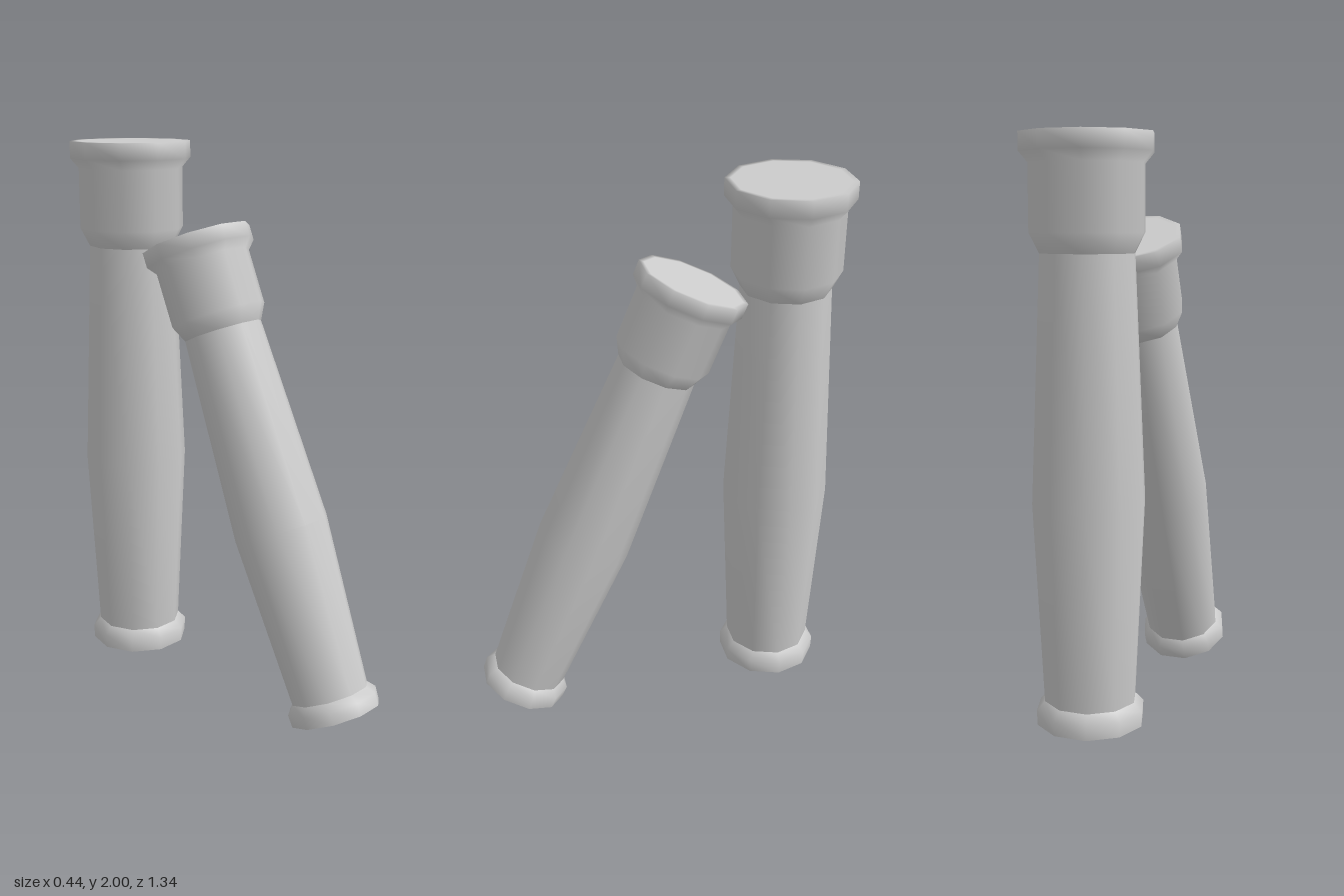
import * as THREE from 'three';

const SIDES = 10;

// Profiles as [radius, height], listed from the bottom upwards; joints between parts stay crisp
const PARTS = {
  baseCap: [[0, 0], [0.182, 0]],
  baseRim: [[0.182, 0], [0.184, 0.05], [0.156, 0.08]],
  grip: [[0.156, 0.08], [0.19, 0.755], [0.157, 1.56]],
  collar: [[0.157, 1.56], [0.19, 1.625], [0.19, 1.84], [0.22, 1.875], [0.22, 1.935], [0.2, 1.935], [0, 1.935]],
};

// One ten-sided handle standing on its own origin
function makeHandle(name, material) {
  const handle = new THREE.Group();
  handle.name = name;
  for (const [part, profile] of Object.entries(PARTS)) {
    const points = profile.map(([r, y]) => new THREE.Vector2(r, y));
    const mesh = new THREE.Mesh(new THREE.LatheGeometry(points, SIDES, Math.PI / 2), material);
    mesh.name = part;
    handle.add(mesh);
  }
  return handle;
}

export function createModel() {
  const model = new THREE.Group();
  model.name = 'handlePair';
  const material = new THREE.MeshStandardMaterial({ color: 0xcccccc });

  // Upright handle at the back
  const upright = makeHandle('uprightHandle', material);
  upright.position.set(0, 0.065, -0.46);

  // Slightly smaller handle leaning back against it
  const leaning = makeHandle('leaningHandle', material);
  leaning.scale.setScalar(0.9);
  leaning.rotation.x = -0.389;
  leaning.position.set(0, 0.06, 0.525);

  model.add(upright, leaning);
  return model;
}
